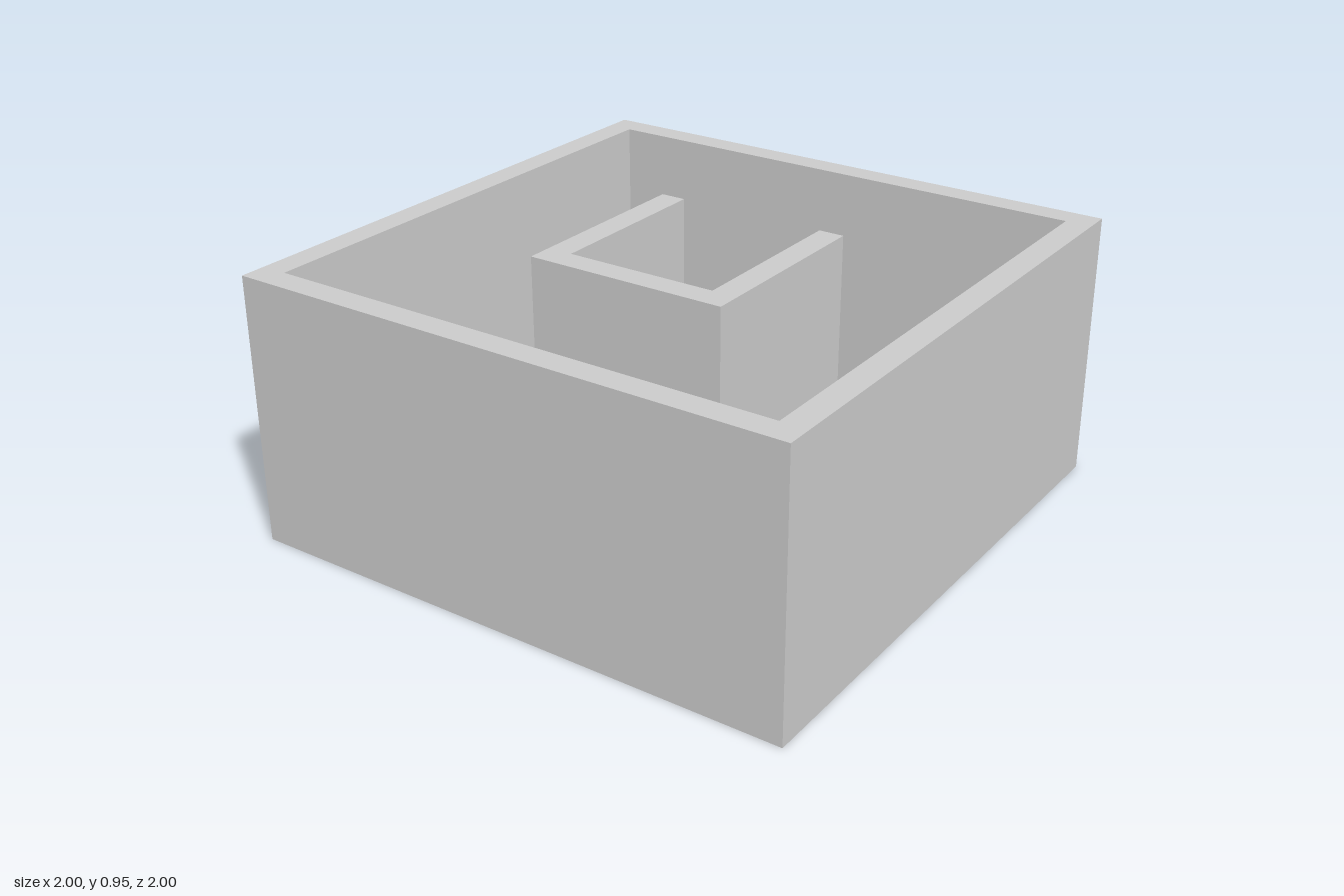
import * as THREE from 'three';

const U = 1 / 11;            // wall thickness, the module of the plan
const FLOOR = 0.4 * U;       // floor slab thickness
const HEIGHT = 10.4 * U;     // overall height

// Corners of a rectangle in plan, given as x and z ranges
const rect = (x0, x1, z0, z1) => [[x0, z0], [x1, z0], [x1, z1], [x0, z1]];

// Plan coordinates (x, z) to shape coordinates
const points = (plan) => plan.map(([x, z]) => new THREE.Vector2(x, -z));

export function createModel() {
  const group = new THREE.Group();
  const material = new THREE.MeshStandardMaterial({ color: 0xcccccc, flatShading: true });

  // Raise a plan outline, with an optional hole, from y0 to y1
  function raise(name, outline, hole, y0, y1) {
    const shape = new THREE.Shape(points(outline));
    // The hole runs opposite to the outline so its sides face inwards
    if (hole) shape.holes.push(new THREE.Path(points(hole).reverse()));
    const geometry = new THREE.ExtrudeGeometry(shape, { depth: y1 - y0, bevelEnabled: false });
    geometry.rotateX(-Math.PI / 2).translate(0, y0, 0);
    const mesh = new THREE.Mesh(geometry, material);
    mesh.name = name;
    group.add(mesh);
  }

  const outer = rect(-1, 1, -1, 1);
  const inside = 1 - U;
  const a = 4 * U; // outer half-width of the inner screen
  const b = 3 * U; // inner half-width of the inner screen

  // Floor slab with the opening between the screen and the front wall
  raise('floor', outer, rect(-a, a, a, inside), 0, FLOOR);

  // Square ring of outer walls
  raise('outerWalls', outer, rect(-inside, inside, -inside, inside), FLOOR, HEIGHT);

  // U-shaped screen, closed towards the front and open at the back
  raise('innerScreen', [
    [-a, -a], [-b, -a], [-b, b], [b, b], [b, -a], [a, -a], [a, a], [-a, a],
  ], null, FLOOR, HEIGHT);

  return group;
}
